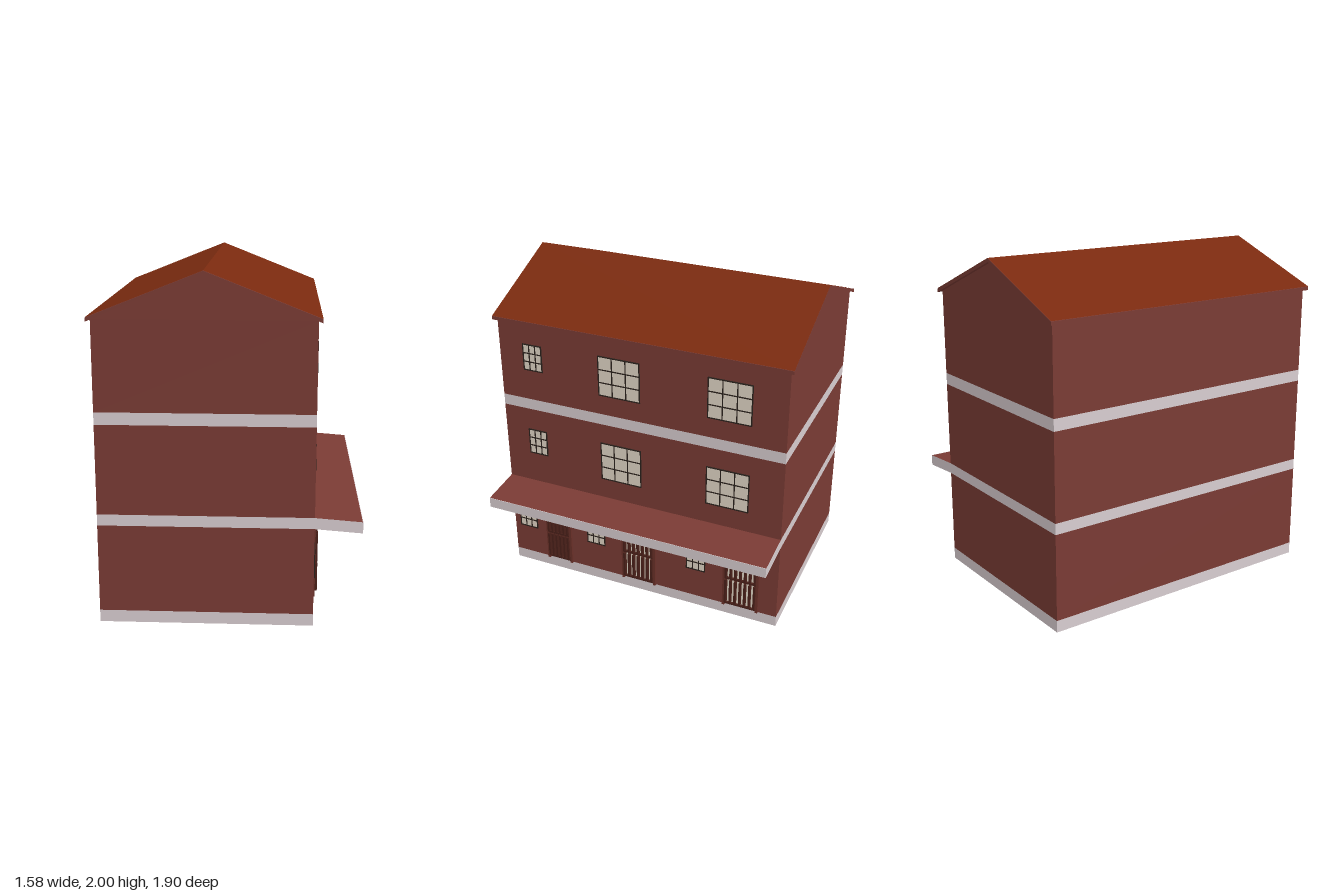
import * as THREE from 'three';

const W = 0.605, L = 0.902;          // half width and half length of the walls
const mat = (color) => new THREE.MeshStandardMaterial({ color, side: THREE.DoubleSide, flatShading: true });

export function createModel() {
  const brick = mat(0x7a3b34), stone = mat(0xd8cdd0), tile = mat(0x7a2a0f);
  const glass = mat(0xe2d6c6), iron = mat(0x2a211c), wood = mat(0x6a3028), dark = mat(0x4a2019);

  const model = new THREE.Group();
  const house = new THREE.Group();
  house.name = 'house';
  house.position.x = -0.1225;
  house.rotation.y = -0.0436;
  model.add(house);

  const add = (parent, name, geometry, material, x = 0, y = 0, z = 0) => {
    const mesh = new THREE.Mesh(geometry, material);
    mesh.name = name;
    mesh.position.set(x, y, z);
    parent.add(mesh);
    return mesh;
  };
  const box = (parent, name, m, w, h, d, x, y, z) => add(parent, name, new THREE.BoxGeometry(w, h, d), m, x, y, z);
  const shapeOf = (points) => new THREE.Shape(points.map(([x, y]) => new THREE.Vector2(x, y)));

  // Four thin walls without floor or ceiling
  const wallRing = (name, m, y0, y1) => {
    const g = new THREE.BoxGeometry(2 * W, y1 - y0, 2 * L);
    const index = Array.from(g.index.array);
    index.splice(12, 12);
    g.setIndex(index);
    g.clearGroups();
    add(house, name, g, m, 0, (y0 + y1) / 2, 0);
  };
  wallRing('plinth', stone, 0, 0.07);
  wallRing('groundFloorWalls', brick, 0.07, 0.58);
  wallRing('lowerBand', stone, 0.58, 0.645);
  wallRing('middleFloorWalls', brick, 0.645, 1.16);
  wallRing('upperBand', stone, 1.16, 1.23);
  wallRing('topFloorWalls', brick, 1.23, 1.738);

  // Gables
  const gable = new THREE.ShapeGeometry(shapeOf([[-W, 1.738], [W, 1.738], [0, 1.978]]));
  add(house, 'frontGable', gable, brick, 0, 0, L);
  add(house, 'backGable', gable, brick, 0, 0, -L).rotation.y = Math.PI;

  // Roof: outer tile slopes over a thin brick-coloured slab
  const roofL = 0.923, eave = 0.628;
  const slab = new THREE.ExtrudeGeometry(
    shapeOf([[-eave, 1.728], [0, 1.977], [eave, 1.728], [eave, 1.749], [0, 1.998], [-eave, 1.749]]),
    { depth: 2 * roofL, bevelEnabled: false });
  add(house, 'roofSlab', slab, brick, 0, 0, -roofL);
  for (const s of [-1, 1]) {
    const slope = new THREE.PlaneGeometry(Math.hypot(eave, 0.249), 2 * roofL);
    slope.rotateX(-Math.PI / 2);
    slope.rotateZ(-s * Math.atan2(0.249, eave));
    add(house, s > 0 ? 'leftRoofSlope' : 'rightRoofSlope', slope, tile, s * eave / 2, 1.8755, 0);
  }

  // Sloping canopy with pale ends and fascia
  const canopy = new THREE.ExtrudeGeometry(
    shapeOf([[W, 0.58], [0.868, 0.56], [0.868, 0.625], [W, 0.645]]),
    { depth: 2 * L, bevelEnabled: false });
  add(house, 'canopy', canopy, [stone, brick], 0, 0, -L);
  box(house, 'canopyFascia', stone, 0.004, 0.065, 2 * L, 0.869, 0.5925, 0);

  // Barred window: pane and grid of thin iron bars
  const makeWindow = (y, z, w, h) => {
    const g = new THREE.Group();
    g.name = 'window';
    g.position.set(W, y, z);
    house.add(g);
    box(g, 'pane', glass, 0.004, h, w, 0.001, 0, 0);
    for (let i = 0; i <= 3; i++) {
      const t = i / 3 - 0.5;
      box(g, 'mullion', iron, 0.008, h + 0.006, 0.006, 0.003, 0, t * w);
      box(g, 'crossbar', iron, 0.008, 0.006, w + 0.006, 0.003, t * h, 0);
    }
  };
  for (const y of [0.935, 1.512]) {
    makeWindow(y, 0.681, 0.12, 0.165);
    for (const z of [0.116, -0.564]) makeWindow(y - (y < 1 ? 0.028 : 0.029), z, 0.26, 0.25);
  }
  for (const z of [0.797, 0.307, -0.374]) makeWindow(0.355, z, 0.12, 0.165);

  // Doors with a frame and two tiers of projecting bars
  const makeDoor = (z, w, panel, bars) => {
    const g = new THREE.Group();
    g.name = 'door';
    g.position.set(W, 0, z);
    house.add(g);
    box(g, 'doorPanel', panel, 0.004, 0.38, w - 0.03, 0.001, 0.28, 0);
    for (const s of [-1, 1]) box(g, 'jamb', wood, 0.02, 0.415, 0.016, 0.005, 0.2775, s * (w / 2 - 0.008));
    box(g, 'lintel', wood, 0.02, 0.016, w, 0.005, 0.477, 0);
    for (const y of [0.09, 0.28, 0.464]) box(g, 'rail', dark, 0.016, 0.012, w - 0.032, 0.008, y, 0);
    for (let i = 0; i < bars; i++) {
      const bz = (i / (bars - 1) - 0.5) * (w - 0.045);
      for (const y of [0.186, 0.371]) box(g, 'bar', dark, 0.026, 0.172, 0.012, 0.015, y, bz);
    }
  };
  makeDoor(0.574, 0.18, wood, 6);
  makeDoor(0.009, 0.23, glass, 7);
  makeDoor(-0.671, 0.23, glass, 7);

  return model;
}
